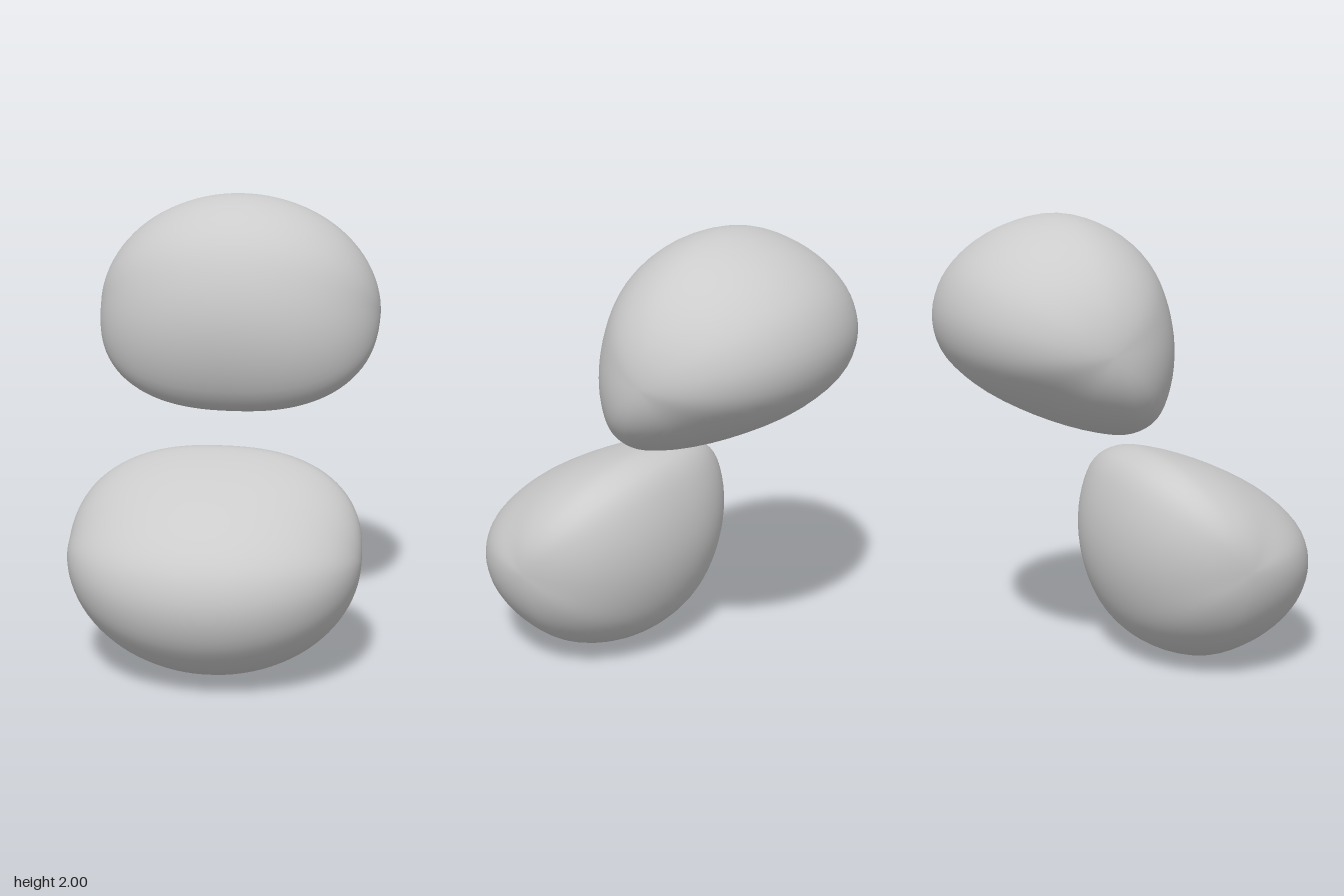
import * as THREE from 'three';
import { mergeVertices } from 'three/addons/utils/BufferGeometryUtils.js';

// Rounded wedge: one closed profile swept across its width, shrinking to both ends
function lobeGeometry() {
  const profile = new THREE.CatmullRomCurve3([
    [0.29, 1.0], [0.49, 0.965], [0.66, 0.875], [0.78, 0.745], [0.83, 0.58], [0.795, 0.425],
    [0.665, 0.285], [0.44, 0.155], [0.21, 0.075], [0.08, 0.06], [-0.03, 0.11],
    [-0.11, 0.26], [-0.145, 0.46], [-0.12, 0.65], [-0.04, 0.82], [0.1, 0.94],
  ].map(([x, y]) => new THREE.Vector3(x, y, 0)), true, 'centripetal');
  const around = 64, across = 48, halfWidth = 0.635;
  const heart = new THREE.Vector3(0.31, 0.48, 0);
  const inner = new THREE.Vector3(-0.45, -0.89, 0);
  const outline = profile.getPoints(around).slice(0, around);
  const positions = [], index = [];

  for (let i = 0; i <= across; i++) {
    const s = -Math.cos((i / across) * Math.PI);
    for (const p of outline) {
      // The inner edge stays a little fuller across the width than the outer dome
      const offset = p.clone().sub(heart);
      const toInner = Math.max(0, offset.clone().normalize().dot(inner));
      const n = 2 + 0.4 * toInner * toInner;
      const k = Math.pow(Math.max(0, 1 - Math.pow(Math.abs(s), n)), 1 / n);
      positions.push(heart.x + offset.x * k, heart.y + offset.y * k, s * halfWidth);
    }
  }
  for (let i = 0; i < across; i++) {
    for (let j = 0; j < around; j++) {
      const a = i * around + j, b = i * around + ((j + 1) % around);
      const c = a + around, d = b + around;
      // The outline runs clockwise seen from +z
      if (i > 0) index.push(a, c, b);
      if (i < across - 1) index.push(b, c, d);
    }
  }
  const geometry = new THREE.BufferGeometry();
  geometry.setAttribute('position', new THREE.Float32BufferAttribute(positions, 3));
  geometry.setIndex(index);
  const merged = mergeVertices(geometry, 1e-5);
  merged.computeVertexNormals();
  return merged;
}

export function createModel() {
  const model = new THREE.Group();
  model.name = 'lobePair';
  const material = new THREE.MeshStandardMaterial({ color: 0xcccccc });
  const geometry = lobeGeometry();

  // Both lobes share a slanted plane; the lower one is the upper turned half a circle
  const pair = new THREE.Group();
  pair.name = 'lobes';
  pair.position.y = 1;
  pair.rotation.y = THREE.MathUtils.degToRad(50);
  ['upperLobe', 'lowerLobe'].forEach((name, i) => {
    const lobe = new THREE.Mesh(geometry, material);
    lobe.name = name;
    lobe.rotation.z = i * Math.PI;
    pair.add(lobe);
  });
  model.add(pair);
  return model;
}
